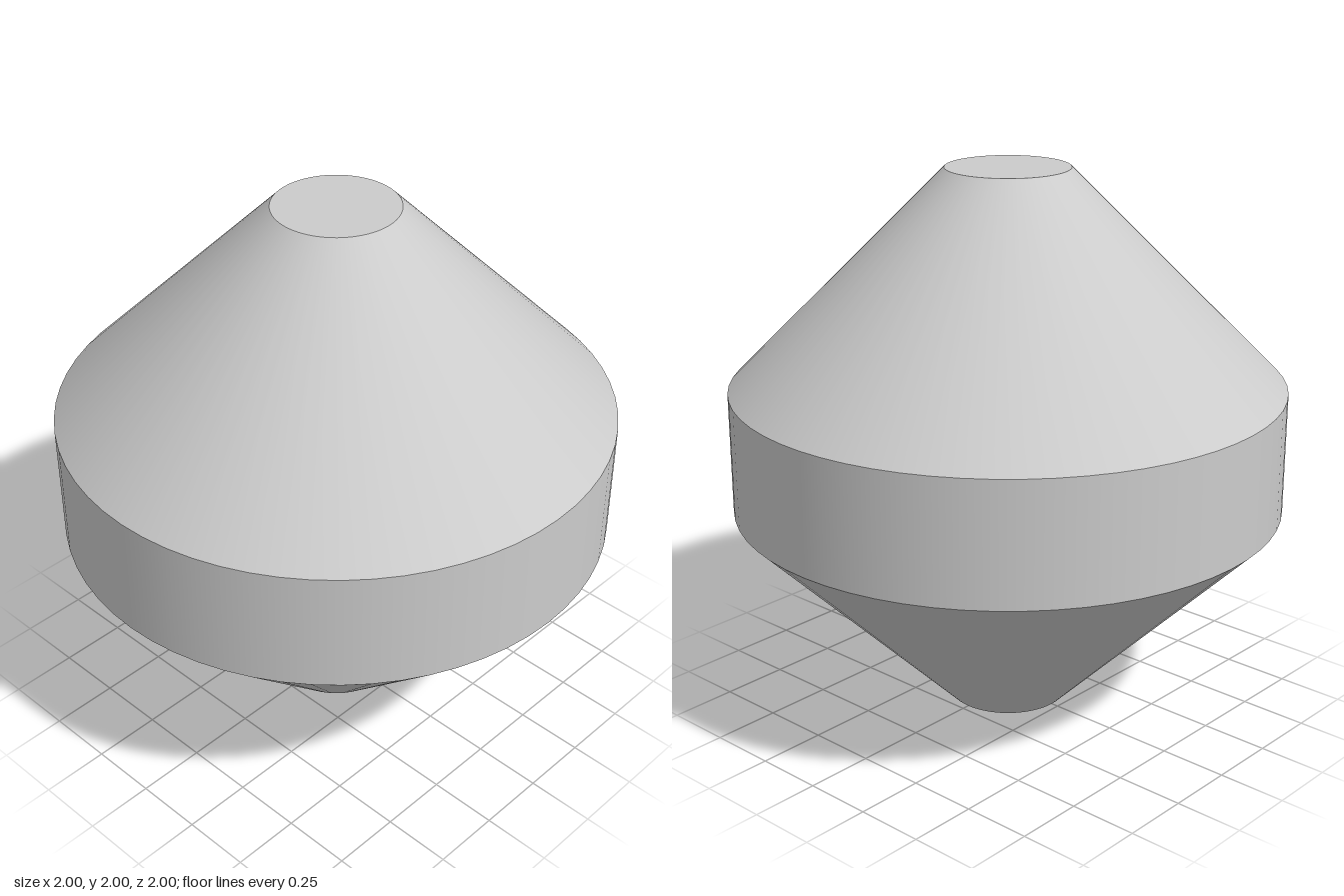
import * as THREE from 'three';

const SIDES = 64;
const RIM = 1;          // radius of the middle band
const TIP = 0.222;      // radius of the flat ends
const BAND_LOW = 0.778;
const BAND_HIGH = 1.222;
const HEIGHT = 2;

export function createModel() {
  const model = new THREE.Group();
  const material = new THREE.MeshStandardMaterial({ color: 0xcccccc });

  const add = (name, geometry) => {
    const mesh = new THREE.Mesh(geometry, material);
    mesh.name = name;
    model.add(mesh);
    return mesh;
  };

  // Open ring of wall between two heights
  const wall = (name, y0, y1, r0, r1) => {
    const geometry = new THREE.CylinderGeometry(r1, r0, y1 - y0, SIDES, 1, true);
    add(name, geometry).position.y = (y0 + y1) / 2;
  };

  // Flat disc facing up (+1) or down (-1)
  const cap = (name, y, facing) => {
    const geometry = new THREE.CircleGeometry(TIP, SIDES).rotateX(-facing * Math.PI / 2);
    add(name, geometry).position.y = y;
  };

  // Two mirrored cones joined by a straight band
  wall('lowerCone', 0, BAND_LOW, TIP, RIM);
  wall('middleBand', BAND_LOW, BAND_HIGH, RIM, RIM);
  wall('upperCone', BAND_HIGH, HEIGHT, RIM, TIP);

  // Flat ends
  cap('bottomCap', 0, -1);
  cap('topCap', HEIGHT, 1);

  return model;
}
